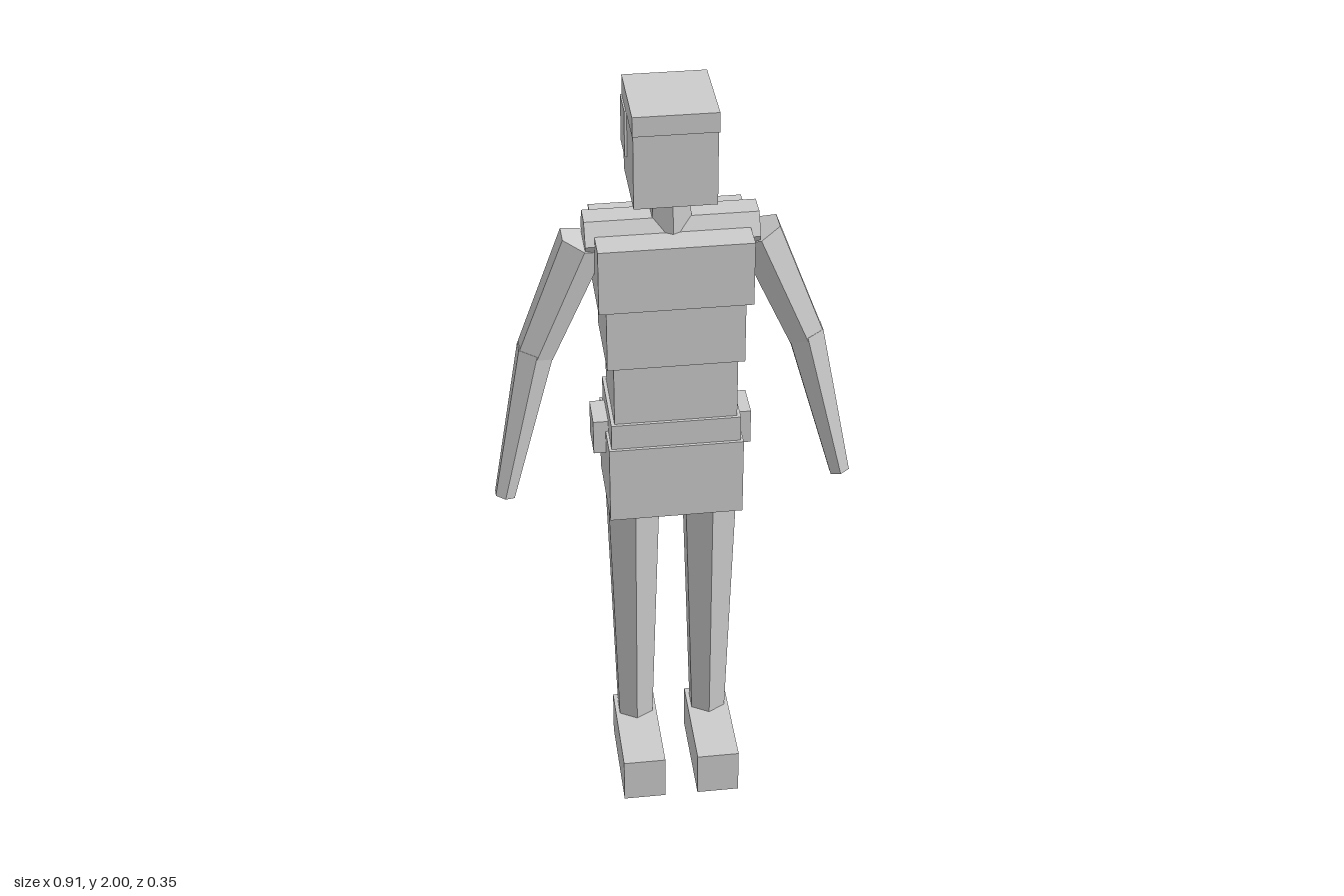
import * as THREE from 'three';

export function createModel() {
  const model = new THREE.Group();
  const grey = new THREE.MeshStandardMaterial({ color: 0xcccccc, flatShading: true });
  grey.name = 'light grey';

  function add(name, geometry) {
    const mesh = new THREE.Mesh(geometry, grey);
    mesh.name = name;
    model.add(mesh);
    return mesh;
  }

  // Box given by its extents on each axis
  function box(name, x0, x1, y0, y1, z0, z1) {
    const mesh = add(name, new THREE.BoxGeometry(x1 - x0, y1 - y0, z1 - z0));
    mesh.position.set((x0 + x1) / 2, (y0 + y1) / 2, (z0 + z1) / 2);
  }

  // Six-sided tapered limb from point a to point b, with an edge facing front
  function limb(name, a, ra, b, rb) {
    const start = new THREE.Vector3(...a);
    const end = new THREE.Vector3(...b);
    const axis = start.clone().sub(end);
    const mesh = add(name, new THREE.CylinderGeometry(ra, rb, axis.length(), 6));
    mesh.position.copy(start).add(end).multiplyScalar(0.5);
    mesh.quaternion.setFromUnitVectors(new THREE.Vector3(0, 1, 0), axis.normalize());
  }

  // Head with cap and back hair
  box('head', -0.099, 0.099, 1.76, 1.99, -0.157, 0.047);
  box('headCap', -0.101, 0.101, 1.95, 2, -0.167, 0.052);
  box('backHair', -0.105, 0.105, 1.83, 1.95, -0.165, -0.08);
  limb('neck', [0, 1.78, -0.055], 0.048, [0, 1.64, -0.055], 0.058);

  // Torso, stacked from chest to hips
  box('chest', -0.187, 0.187, 1.49, 1.66, -0.168, 0.066);
  box('ribs', -0.169, 0.169, 1.325, 1.49, -0.162, 0.06);
  box('waist', -0.153, 0.153, 1.16, 1.325, -0.153, 0.052);
  box('belt', -0.162, 0.162, 1.09, 1.16, -0.162, 0.06);
  box('hips', -0.169, 0.169, 0.875, 1.09, -0.174, 0.068);

  // Shoulder bar with a flat top
  const bar = add('shoulderBar', new THREE.CylinderGeometry(0.06, 0.06, 0.42, 6));
  bar.rotation.z = Math.PI / 2;
  bar.position.set(0, 1.64, -0.057);

  // Mirrored arms, legs, feet and hip pouches
  for (const [side, s] of [['left', 1], ['right', -1]]) {
    limb(side + 'UpperArm', [s * 0.212, 1.625, -0.058], 0.062, [s * 0.335, 1.33, -0.048], 0.05);
    limb(side + 'Forearm', [s * 0.335, 1.335, -0.048], 0.05, [s * 0.43, 0.93, -0.004], 0.028);
    limb(side + 'Thigh', [s * 0.1, 0.9, -0.053], 0.077, [s * 0.1, 0.5, -0.053], 0.064);
    limb(side + 'Shin', [s * 0.1, 0.5, -0.053], 0.064, [s * 0.1, 0.12, -0.053], 0.052);
    const x = s * 0.1;
    box(side + 'Foot', x - 0.056, x + 0.056, 0, 0.13, -0.105, 0.175);
    const p = s * 0.175;
    box(side + 'Pouch', p - 0.025, p + 0.025, 1.025, 1.12, -0.115, -0.02);
  }
  return model;
}
